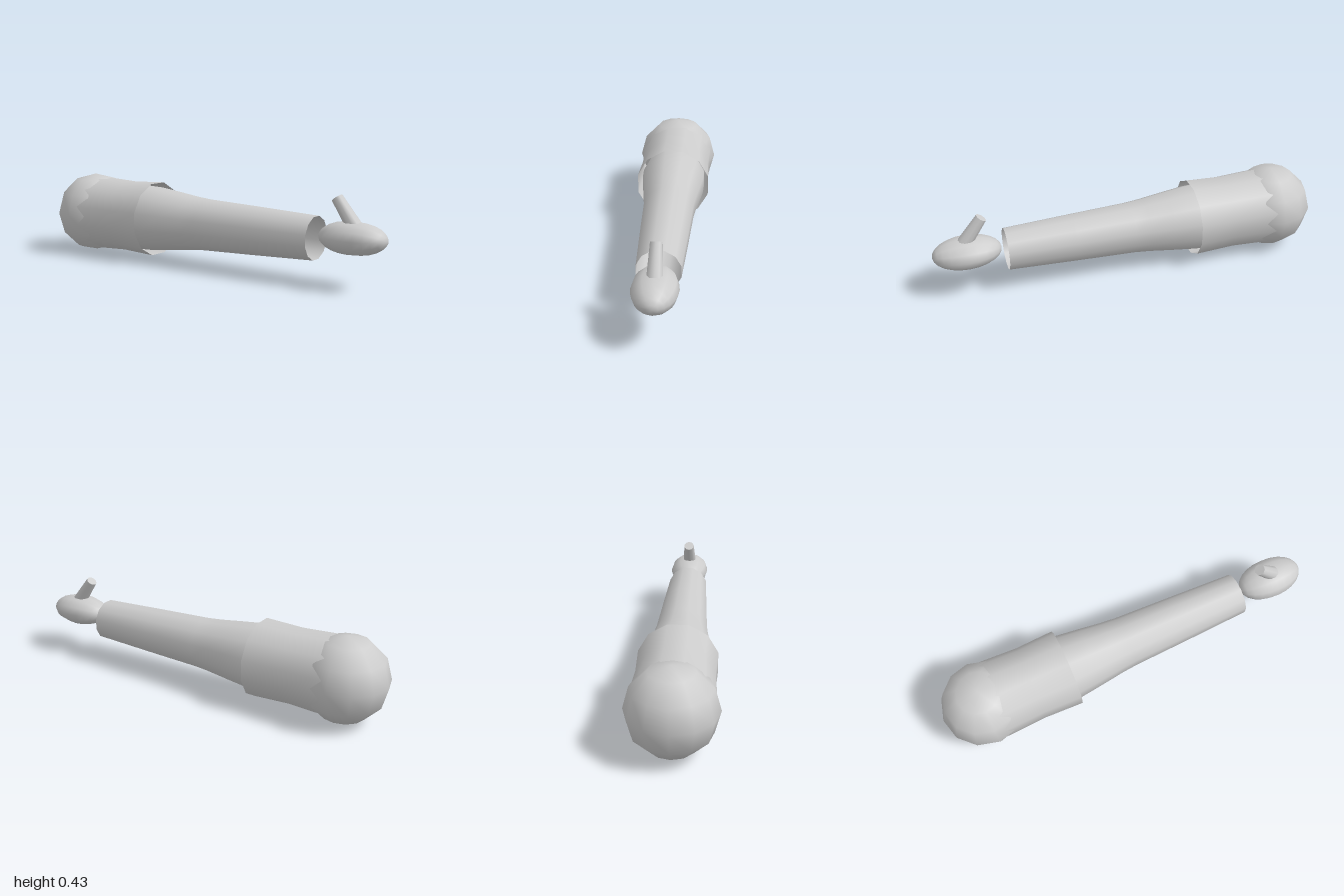
import * as THREE from 'three';

const AXIS_Y = 0.217;
const SIDES = 12;

export function createModel() {
  const group = new THREE.Group();
  const grey = new THREE.MeshStandardMaterial({ color: 0xcccccc, side: THREE.DoubleSide });
  grey.name = 'lightGrey';

  function add(name, geometry, x, y, z) {
    const mesh = new THREE.Mesh(geometry, grey);
    mesh.name = name;
    mesh.position.set(x, y, z);
    group.add(mesh);
    return mesh;
  }

  // Open twelve-sided tube along z; each pair is [z, distance from axis to flat].
  function tube(profile) {
    const points = profile.map(([z, r]) => new THREE.Vector2(r / Math.cos(Math.PI / SIDES), z));
    const geometry = new THREE.LatheGeometry(points, SIDES, Math.PI / SIDES);
    geometry.rotateX(Math.PI / 2);
    return geometry;
  }

  // Shoulder ball
  add('shoulder', new THREE.SphereGeometry(0.216, 12, 6), 0, AXIS_Y, -0.785);

  // Short sleeve, open at the front
  add('sleeve', tube([[-0.76, 0.193], [-0.7, 0.192], [-0.53, 0.184], [-0.33, 0.192]]), 0, AXIS_Y, 0);

  // Forearm, flaring where it enters the sleeve
  add('forearm', tube([
    [-0.42, 0.168], [-0.33, 0.165], [-0.2, 0.15], [-0.08, 0.135],
    [0, 0.128], [0.3, 0.117], [0.64, 0.103],
  ]), 0, AXIS_Y, 0);

  // Rounded hand
  const hand = new THREE.SphereGeometry(1, 12, 12);
  hand.rotateX(Math.PI / 2);
  hand.scale(0.106, 0.079, 0.17);
  add('hand', hand, 0, 0.237, 0.83);

  // Thumb, tilted up and back
  const base = new THREE.Vector3(0, 0.27, 0.853);
  const tip = new THREE.Vector3(0, 0.418, 0.745);
  const direction = tip.clone().sub(base);
  const thumb = add('thumb', new THREE.CylinderGeometry(0.028, 0.039, direction.length(), 10), 0, 0, 0);
  thumb.position.copy(base).add(tip).multiplyScalar(0.5);
  thumb.quaternion.setFromUnitVectors(new THREE.Vector3(0, 1, 0), direction.normalize());

  return group;
}
